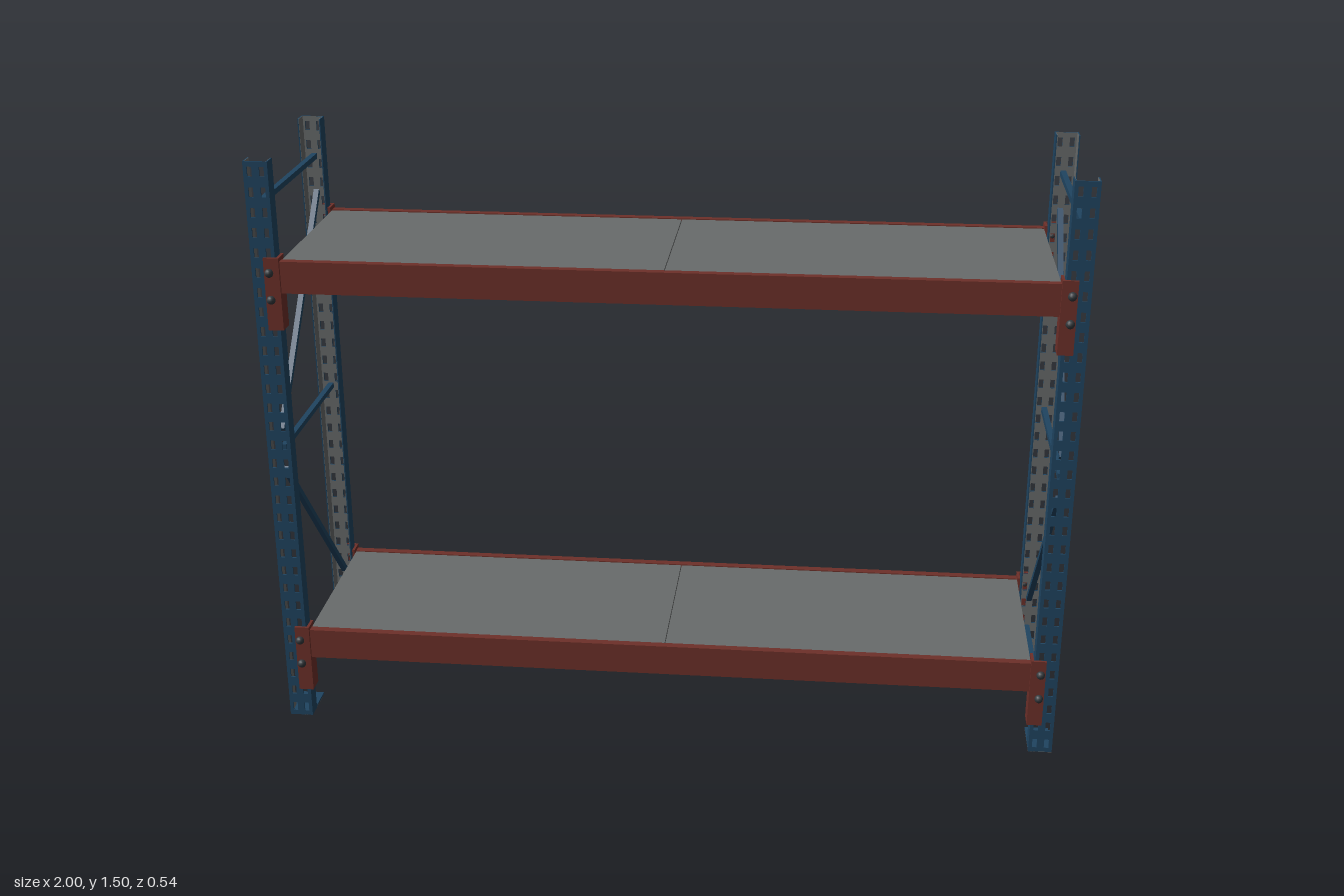
import * as THREE from 'three';

const material = (name, color) => Object.assign(new THREE.MeshStandardMaterial({ color }), { name });

export function createModel() {
  const blue = material('upright blue', 0x1f4461);
  const red = material('beam red', 0x6e3029);
  const gray = material('deck gray', 0x686b6b);
  const dark = material('bolt dark', 0x33383c);

  const root = new THREE.Group();
  root.name = 'storageRack';

  const add = (parent, name, geometry, mat, x = 0, y = 0, z = 0) => {
    const mesh = new THREE.Mesh(geometry, mat);
    mesh.name = name;
    mesh.position.set(x, y, z);
    parent.add(mesh);
    return mesh;
  };
  // box given by its limits on each axis
  const box = (parent, name, mat, [x0, x1], [y0, y1], [z0, z1]) =>
    add(parent, name, new THREE.BoxGeometry(Math.abs(x1 - x0), y1 - y0, Math.abs(z1 - z0)), mat,
      (x0 + x1) / 2, (y0 + y1) / 2, (z0 + z1) / 2);

  // perforated upright web: two columns of slots
  const H = 1.5, W = 0.03, T = 0.004;
  const rect = (path, x0, y0, x1, y1) => {
    path.moveTo(x0, y0);
    path.lineTo(x1, y0);
    path.lineTo(x1, y1);
    path.lineTo(x0, y1);
    path.closePath();
    return path;
  };
  const web = rect(new THREE.Shape(), -W, 0, W, H);
  for (let i = 0; i < 30; i++) {
    for (const cx of [-0.015, 0.015]) {
      const cy = 0.025 + i * 0.05;
      web.holes.push(rect(new THREE.Path(), cx - 0.006, cy - 0.012, cx + 0.006, cy + 0.012));
    }
  }
  const webGeo = new THREE.ExtrudeGeometry(web, { depth: T, bevelEnabled: false });
  const linerGeo = new THREE.ShapeGeometry(web).rotateY(Math.PI);

  // channel upright with foot plate, open towards the middle of the frame
  const upright = (sx, sz) => {
    const g = new THREE.Group();
    g.name = 'upright';
    add(g, 'uprightWeb', webGeo, blue, 0, 0, 0.25 - T);
    add(g, 'uprightWebInside', linerGeo, gray, 0, 0, 0.25 - T - 0.0006);
    for (const s of [-1, 1]) {
      box(g, 'uprightFlange', blue, [s * W, s * (W - 0.003)], [0, H], [0.21, 0.25 - T]);
      box(g, 'uprightFlangeInside', gray, [s * (W - 0.003), s * (W - 0.004)], [0, H], [0.2105, 0.25 - T]);
    }
    box(g, 'footPlate', blue, [-W, W], [0.001, 0.006], [0.14, 0.25]);
    box(g, 'footUnderside', gray, [-W, W], [0, 0.001], [0.14, 0.25]);
    g.position.x = sx * 0.97;
    g.rotation.y = sz > 0 ? 0 : Math.PI;
    root.add(g);
  };

  // brace bar between a front and a rear height
  const brace = (name, x, yFront, yBack) => {
    const dz = 0.45, dy = yFront - yBack;
    const bar = add(root, name, new THREE.BoxGeometry(0.014, 0.014, Math.hypot(dz, dy)), blue,
      x, (yFront + yBack) / 2, 0);
    bar.rotation.x = -Math.atan2(dy, dz);
  };

  for (const sx of [-1, 1]) {
    for (const sz of [-1, 1]) upright(sx, sz);
    for (const y of [0.11, 0.76, 1.4]) brace('horizontalBrace', sx * 0.966, y, y);
    brace('lowerDiagonalBrace', sx * 0.966, 0.702, 0.198);
    brace('upperDiagonalBrace', sx * 0.966, 0.808, 1.307);
  }

  // trapezoid rib under the decks
  const rib = new THREE.Shape([[-0.045, 0], [-0.03, -0.036], [0.03, -0.036], [0.045, 0]]
    .map(([x, y]) => new THREE.Vector2(x, y)));
  const ribGeo = new THREE.ExtrudeGeometry(rib, { depth: 0.42, bevelEnabled: false }).translate(0, 0, -0.21);
  const boltGeo = new THREE.SphereGeometry(0.011, 12, 8);

  // one shelf level, measured from its top
  const shelf = (top) => {
    const g = new THREE.Group();
    g.name = 'shelf';
    g.position.y = top;
    root.add(g);

    for (const s of [-1, 1]) {
      // stepped beam
      box(g, 'beamOuter', red, [-0.93, 0.93], [-0.08, 0], [s * 0.23, s * 0.25]);
      box(g, 'beamStep', red, [-0.93, 0.93], [-0.08, -0.027], [s * 0.21, s * 0.23]);

      // deck panel with ribs
      box(g, 'deckPanel', gray, [s * 0.001, s * 0.93], [-0.026, -0.002], [-0.229, 0.229]);
      for (let i = 0; i < 7; i++) add(g, 'deckRib', ribGeo, gray, s * (0.0665 + i * 0.1328), -0.025, 0);

      // angle connectors and bolts at both ends
      for (const sx of [-1, 1]) {
        box(g, 'connectorFace', red, [sx * 0.93, sx * 0.968], [-0.173, 0.01], [s * 0.25, s * 0.257]);
        box(g, 'connectorSide', red, [sx * 0.93, sx * 0.937], [-0.173, 0.01], [s * 0.212, s * 0.25]);
        for (const y of [-0.027, -0.095]) add(g, 'bolt', boltGeo, dark, sx * 0.955, y, s * 0.259);
      }
    }
  };
  shelf(0.255);
  shelf(1.255);

  return root;
}
